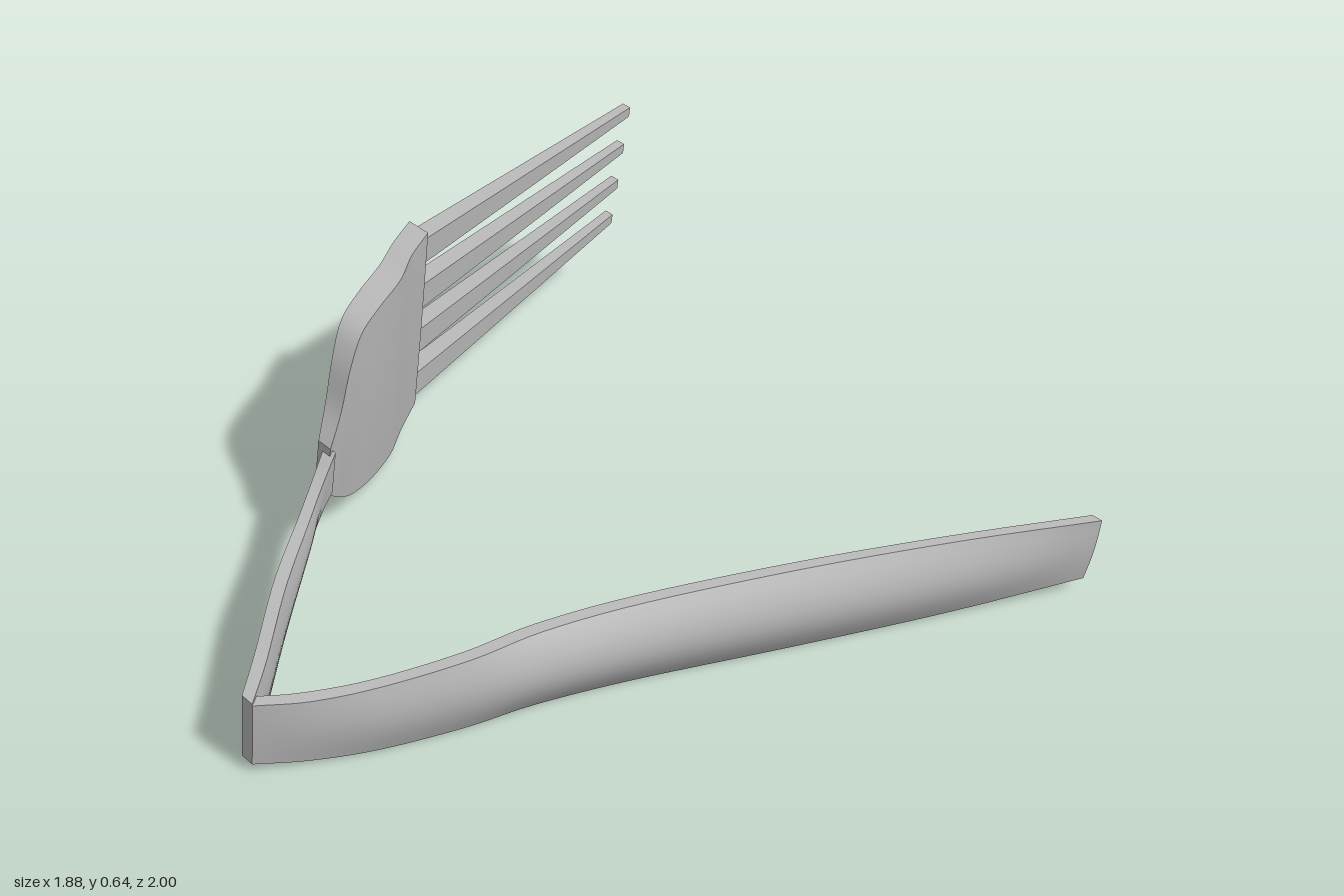
import * as THREE from 'three';
import { toCreasedNormals } from 'three/addons/utils/BufferGeometryUtils.js';

const metal = new THREE.MeshStandardMaterial({ color: 0xbcbcbc });
metal.name = 'brushed metal';

// Each station: [z, lower left x, edge thickness, middle thickness, bottom y, top y, sideways lean of the top]
function smoothStations(stations, steps) {
  const pick = (a, b, c) => new THREE.CatmullRomCurve3(
    stations.map(s => new THREE.Vector3(s[a], s[b], s[c])), false, 'catmullrom', 0.5);
  const curves = [pick(0, 1, 2), pick(3, 4, 5), pick(6, 6, 6)];
  return Array.from({ length: steps + 1 }, (_, i) => {
    const [p, q, r] = curves.map(c => c.getPoint(i / steps));
    return [p.x, p.y, p.z, q.x, q.y, q.z, r.x];
  });
}

// Flat left side, bowed right side, counter-clockwise as seen from +z
function ring([z, x, edge, thick, yb, yt, lean], sides) {
  const points = [[x, yb, z]];
  for (let i = 0; i <= sides; i++) {
    const f = i / sides;
    points.push([x + lean * f + edge + (thick - edge) * Math.sin(Math.PI * f), yb + (yt - yb) * f, z]);
  }
  points.push([x + lean, yt, z]);
  return points;
}

function loft(name, stations, sides = 8) {
  const rings = stations.map(s => ring(s, sides));
  const n = rings[0].length, last = rings.length - 1;
  const index = [];
  for (let i = 0; i < last; i++) {
    for (let j = 0; j < n; j++) {
      const a = i * n + j, b = i * n + (j + 1) % n;
      index.push(a, a + n, b, b, a + n, b + n);
    }
  }
  for (let j = 1; j < n - 1; j++) {
    index.push(0, j, j + 1, last * n, last * n + j + 1, last * n + j);
  }
  const geometry = new THREE.BufferGeometry();
  geometry.setAttribute('position', new THREE.Float32BufferAttribute(rings.flat(2), 3));
  geometry.setIndex(index);
  const mesh = new THREE.Mesh(toCreasedNormals(geometry, 0.6), metal);
  mesh.name = name;
  return mesh;
}

export function createModel() {
  const model = new THREE.Group();
  model.name = 'bentFork';

  // Long handle, from the sharp bend back to its squared end
  model.add(loft('handle', smoothStations([
    [1.00, 0.07, 0.04, 0.042, 0.03, 0.225, 0.025],
    [0.88, 0.13, 0.04, 0.05, 0.012, 0.21, 0.025],
    [0.73, 0.20, 0.035, 0.055, 0.002, 0.212, 0.025],
    [0.53, 0.27, 0.035, 0.065, 0.002, 0.23, 0.03],
    [0.35, 0.315, 0.035, 0.085, 0.002, 0.247, 0.03],
    [0.11, 0.40, 0.035, 0.09, 0.001, 0.258, 0.03],
    [-0.26, 0.56, 0.033, 0.085, 0.002, 0.265, 0.03],
    [-0.63, 0.722, 0.03, 0.068, 0.01, 0.255, 0.03],
    [-0.97, 0.877, 0.03, 0.035, 0.04, 0.237, 0.028],
  ], 40)));

  // Neck, bent forward from the fork head
  model.add(loft('neck', smoothStations([
    [1.00, 0.07, 0.04, 0.042, 0.03, 0.23, 0.025],
    [0.90, -0.02, 0.045, 0.055, 0.065, 0.245, 0.025],
    [0.73, -0.18, 0.045, 0.06, 0.095, 0.273, 0.025],
    [0.55, -0.33, 0.04, 0.055, 0.148, 0.284, 0.025],
    [0.45, -0.41, 0.04, 0.045, 0.18, 0.302, 0.025],
    [0.37, -0.465, 0.045, 0.045, 0.203, 0.338, 0.025],
  ], 24)));

  // Broad fork head with rounded shoulders
  model.add(loft('forkHead', smoothStations([
    [0.385, -0.475, 0.05, 0.05, 0.198, 0.355, 0.03],
    [0.33, -0.525, 0.065, 0.068, 0.145, 0.425, 0.04],
    [0.28, -0.575, 0.075, 0.08, 0.098, 0.525, 0.06],
    [0.22, -0.625, 0.085, 0.09, 0.06, 0.59, 0.072],
    [0.13, -0.68, 0.09, 0.098, 0.033, 0.612, 0.08],
    [0.02, -0.74, 0.09, 0.095, 0.028, 0.616, 0.08],
    [-0.06, -0.785, 0.08, 0.085, 0.043, 0.632, 0.08],
    [-0.145, -0.83, 0.078, 0.08, 0.068, 0.645, 0.085],
  ], 40)));

  // Four tapered tines
  const tines = new THREE.Group();
  tines.name = 'tines';
  for (let i = 0; i < 4; i++) {
    const y = 0.08 + i * 0.153, tipY = 0.235 + i * 0.125;
    tines.add(loft('tine' + (i + 1), [
      [-0.13, -0.818 + i * 0.023, 0.06, 0.06, y, y + 0.08, 0.011],
      [-1.00, -0.943 + i * 0.022, 0.03, 0.03, tipY, tipY + 0.03, 0.004],
    ], 1));
  }
  model.add(tines);
  return model;
}
